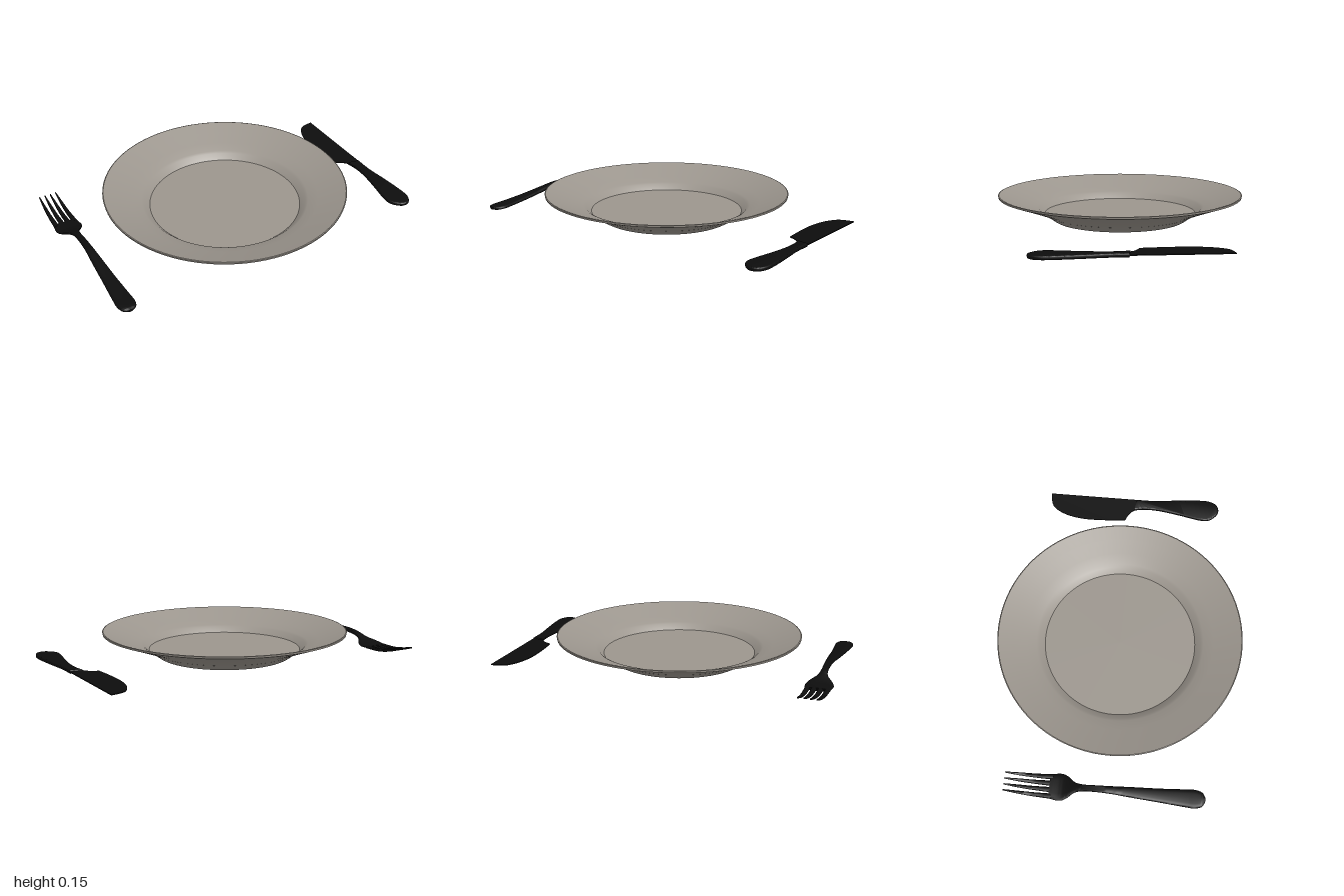
import * as THREE from 'three';
import { toCreasedNormals } from 'three/addons/utils/BufferGeometryUtils.js';

const ceramic = new THREE.MeshStandardMaterial({ name: 'warm grey ceramic', color: 0x9c968e });
const blackMetal = new THREE.MeshStandardMaterial({ name: 'black metal', color: 0x0d0d0d });

function part(name, geometry, material) {
  const mesh = new THREE.Mesh(geometry, material);
  mesh.name = name;
  return mesh;
}

// Smooth bar running along z. Each station: [x, y, z, halfWidth, halfThickness]
function bar(stations, steps, sides = 16) {
  const path = new THREE.CatmullRomCurve3(stations.map(s => new THREE.Vector3(s[0], s[1], s[2])));
  const size = new THREE.CatmullRomCurve3(stations.map(s => new THREE.Vector3(s[3], s[4], s[2])));
  const positions = [], index = [];
  const squash = v => Math.sign(v) * Math.pow(Math.abs(v), 0.7);
  for (let i = 0; i <= steps; i++) {
    const c = path.getPoint(i / steps), h = size.getPoint(i / steps);
    for (let j = 0; j < sides; j++) {
      const t = (j / sides) * Math.PI * 2;
      positions.push(c.x + h.x * squash(Math.cos(t)), c.y + h.y * squash(Math.sin(t)), c.z);
    }
  }
  for (let i = 0; i < steps; i++) {
    for (let j = 0; j < sides; j++) {
      const a = i * sides + j, b = i * sides + (j + 1) % sides;
      index.push(a, b, a + sides, b, b + sides, a + sides);
    }
  }
  // end caps
  const last = steps * sides;
  for (let j = 1; j < sides - 1; j++) {
    index.push(0, j + 1, j, last, last + j, last + j + 1);
  }
  const g = new THREE.BufferGeometry();
  g.setAttribute('position', new THREE.Float32BufferAttribute(positions, 3));
  g.setIndex(index);
  return toCreasedNormals(g, 0.9);
}

// Flat slab whose outline lies in the x/z plane, between two heights
function slab(shape, bottom, top, bevel) {
  const g = new THREE.ExtrudeGeometry(shape, {
    depth: top - bottom - 2 * bevel, curveSegments: 40,
    bevelEnabled: bevel > 0, bevelThickness: bevel, bevelSize: bevel, bevelOffset: -bevel, bevelSegments: 3,
  });
  g.rotateX(Math.PI / 2);
  g.translate(0, top - bevel, 0);
  return toCreasedNormals(g, 0.7);
}

const points = list => list.map(p => new THREE.Vector2(p[0], p[1]));

function createPlate() {
  // underside, rim lip, sloping rim, well and floor
  const profile = points([
    [0, 0.003], [0.362, 0.003], [0.375, 0.01], [0.4, 0.028], [0.425, 0.044], [0.455, 0.058],
    [0.52, 0.083], [0.6, 0.112], [0.675, 0.138], [0.677, 0.148], [0.672, 0.15],
    [0.6, 0.124], [0.52, 0.096], [0.465, 0.077], [0.45, 0.069], [0.42, 0.04], [0, 0.04],
  ]);
  const plate = part('plate', toCreasedNormals(new THREE.LatheGeometry(profile, 96), 0.5), ceramic);
  plate.position.set(-0.015, 0, -0.015);
  return plate;
}

function createFork() {
  const fork = new THREE.Group();
  fork.name = 'fork';
  // head, arched neck and handle in one sweep
  fork.add(part('forkHandle', bar([
    [0, 0.011, -0.135, 0.066, 0.008], [0, 0.014, -0.07, 0.073, 0.009], [0, 0.023, -0.035, 0.058, 0.01],
    [0, 0.036, 0, 0.03, 0.011], [0, 0.05, 0.04, 0.019, 0.012], [0, 0.061, 0.12, 0.018, 0.012],
    [0, 0.061, 0.2, 0.021, 0.012], [0, 0.05, 0.3, 0.028, 0.012], [0, 0.034, 0.45, 0.037, 0.012],
    [0, 0.023, 0.6, 0.048, 0.011], [0, 0.021, 0.65, 0.05, 0.011], [0, 0.02, 0.688, 0.037, 0.01],
    [0, 0.019, 0.703, 0.012, 0.007],
  ], 72), blackMetal));
  // four upturned tines
  for (const k of [-1.5, -0.5, 0.5, 1.5]) {
    fork.add(part('forkTine', bar([
      [k * 0.032, 0.046, -0.378, 0.003, 0.004], [k * 0.033, 0.026, -0.3, 0.008, 0.007],
      [k * 0.034, 0.013, -0.22, 0.011, 0.008], [k * 0.035, 0.011, -0.12, 0.0145, 0.008],
    ], 16, 12), blackMetal));
  }
  fork.position.set(-0.873, 0, -0.008);
  fork.rotation.y = 0.205;
  return fork;
}

function createKnife() {
  const knife = new THREE.Group();
  knife.name = 'knife';
  // blade: straight back, bellied edge with a stepped heel
  const blade = new THREE.Shape();
  blade.moveTo(0.778, -0.685);
  blade.splineThru(points([[0.72, -0.66], [0.69, -0.625], [0.672, -0.55], [0.676, -0.45], [0.703, -0.33], [0.737, -0.215]]));
  blade.splineThru(points([[0.775, -0.206], [0.805, -0.19], [0.824, -0.165]]));
  blade.lineTo(0.84, -0.12);
  blade.lineTo(0.9, -0.12);
  blade.lineTo(0.883, -0.195);
  blade.closePath();
  knife.add(part('knifeBlade', slab(blade, 0.012, 0.017, 0), blackMetal));
  // handle: swells towards a rounded end
  const handle = new THREE.Shape();
  handle.moveTo(0.885, -0.185);
  handle.lineTo(0.818, -0.18);
  handle.splineThru(points([
    [0.84, -0.125], [0.856, -0.04], [0.863, 0.08], [0.866, 0.2], [0.88, 0.255], [0.915, 0.287], [0.95, 0.297],
    [0.985, 0.278], [0.998, 0.23], [0.985, 0.16], [0.945, 0.03], [0.908, -0.08], [0.885, -0.185],
  ]));
  knife.add(part('knifeHandle', slab(handle, 0.003, 0.024, 0.007), blackMetal));
  return knife;
}

export function createModel() {
  const model = new THREE.Group();
  model.name = 'placeSetting';
  model.add(createPlate(), createFork(), createKnife());
  return model;
}
